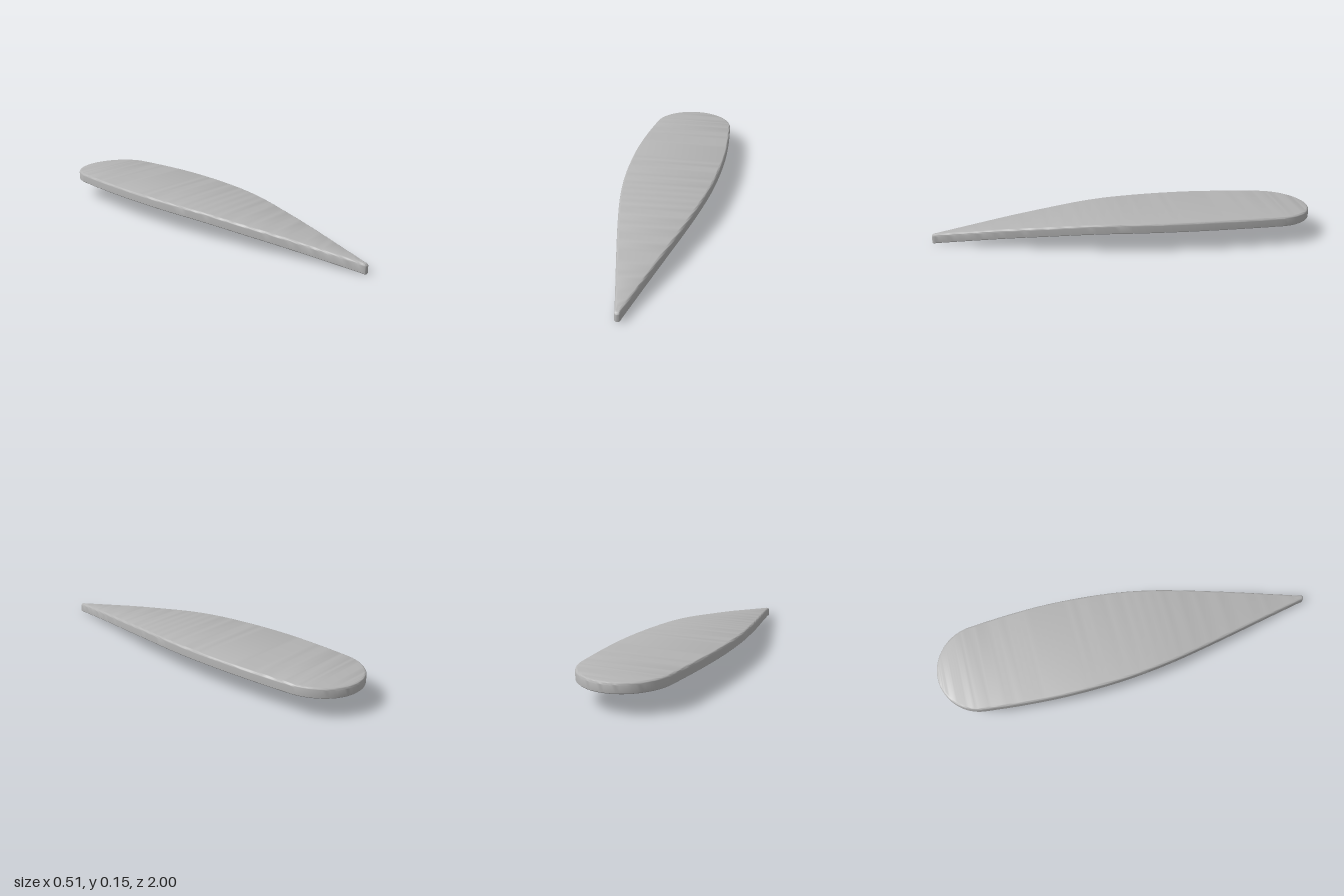
import * as THREE from 'three';
import { toCreasedNormals } from 'three/addons/utils/BufferGeometryUtils.js';

const THICKNESS = 0.05;

// Height of the upper face along the length: nearly flat at the back, drooping to the tip
const crown = new THREE.SplineCurve([
  [-1, 0.142], [-0.8, 0.147], [-0.4, 0.15], [0, 0.144], [0.2, 0.135],
  [0.4, 0.117], [0.6, 0.097], [0.8, 0.073], [1, 0.048],
].map(([z, y]) => new THREE.Vector2(z, y)));
const crownPoints = crown.getPoints(160);
function topHeight(z) {
  let i = 1;
  while (i < crownPoints.length - 1 && crownPoints[i].x < z) i++;
  const a = crownPoints[i - 1], b = crownPoints[i];
  return THREE.MathUtils.mapLinear(THREE.MathUtils.clamp(z, -1, 1), a.x, b.x, a.y, b.y);
}

// Half outline in plan, (x, z), from the round end to the pointed tip
function halfOutline() {
  const points = [];
  for (let i = 0; i < 20; i++) {
    const a = (i / 20) * Math.PI * 0.47;
    points.push(new THREE.Vector2(0.23 * Math.sin(a), -0.77 - 0.23 * Math.cos(a)));
  }
  const side = new THREE.SplineCurve([
    [0.231, -0.77], [0.246, -0.6], [0.255, -0.4], [0.251, -0.2], [0.235, 0],
    [0.204, 0.2], [0.16, 0.4], [0.111, 0.6], [0.06, 0.8], [0.0145, 0.98],
  ].map(([x, z]) => new THREE.Vector2(x, z)));
  points.push(...side.getPoints(60));
  for (let i = 1; i <= 6; i++) {
    const a = (1 - i / 6) * Math.PI * 0.4;
    points.push(new THREE.Vector2(0.015 * Math.sin(a), 0.985 + 0.015 * Math.cos(a)));
  }
  return points;
}

// Rim profile as [inset, depth below the upper face], from the bottom up
function rimProfile() {
  const rim = [[0.004, THICKNESS], [0, THICKNESS - 0.004]];
  const r = 0.012;
  for (let i = 0; i <= 5; i++) {
    const a = (i / 5) * Math.PI / 2;
    rim.push([r * (1 - Math.cos(a)), r * (1 - Math.sin(a))]);
  }
  return rim;
}

function bladeGeometry() {
  const outline = halfOutline(), rim = rimProfile();
  const last = outline.length - 1;
  const positions = [], indices = [];
  const count = rim.length * 2;
  outline.forEach((p, i) => {
    // Outward normal of the outline, straight along z at both ends
    const d = outline[Math.min(i + 1, last)].clone().sub(outline[Math.max(i - 1, 0)]);
    const n = i === 0 ? new THREE.Vector2(0, -1)
      : i === last ? new THREE.Vector2(0, 1)
        : new THREE.Vector2(d.y, -d.x).normalize();
    const half = rim.map(([inset, depth]) => {
      const z = p.y - n.y * inset;
      return [Math.max(0, p.x - n.x * inset), topHeight(z) - depth, z];
    });
    half.forEach(([x, y, z]) => positions.push(-x, y, z));
    half.reverse().forEach(([x, y, z]) => positions.push(x, y, z));
  });
  // Join neighbouring closed sections
  for (let i = 0; i < last; i++) {
    for (let j = 0; j < count; j++) {
      const k = (j + 1) % count;
      const a = i * count + j, b = i * count + k;
      indices.push(a, a + count, b, b, a + count, b + count);
    }
  }
  const geometry = new THREE.BufferGeometry();
  geometry.setAttribute('position', new THREE.Float32BufferAttribute(positions, 3));
  geometry.setIndex(indices);
  // Rest the lowest point on the ground
  geometry.computeBoundingBox();
  geometry.translate(0, -geometry.boundingBox.min.y, 0);
  return toCreasedNormals(geometry, Math.PI / 5);
}

export function createModel() {
  const group = new THREE.Group();
  group.name = 'curvedBlade';
  const grey = new THREE.MeshStandardMaterial({ color: 0xb4b4b4 });
  grey.name = 'grey';
  const blade = new THREE.Mesh(bladeGeometry(), grey);
  blade.name = 'blade';
  group.add(blade);
  return group;
}
